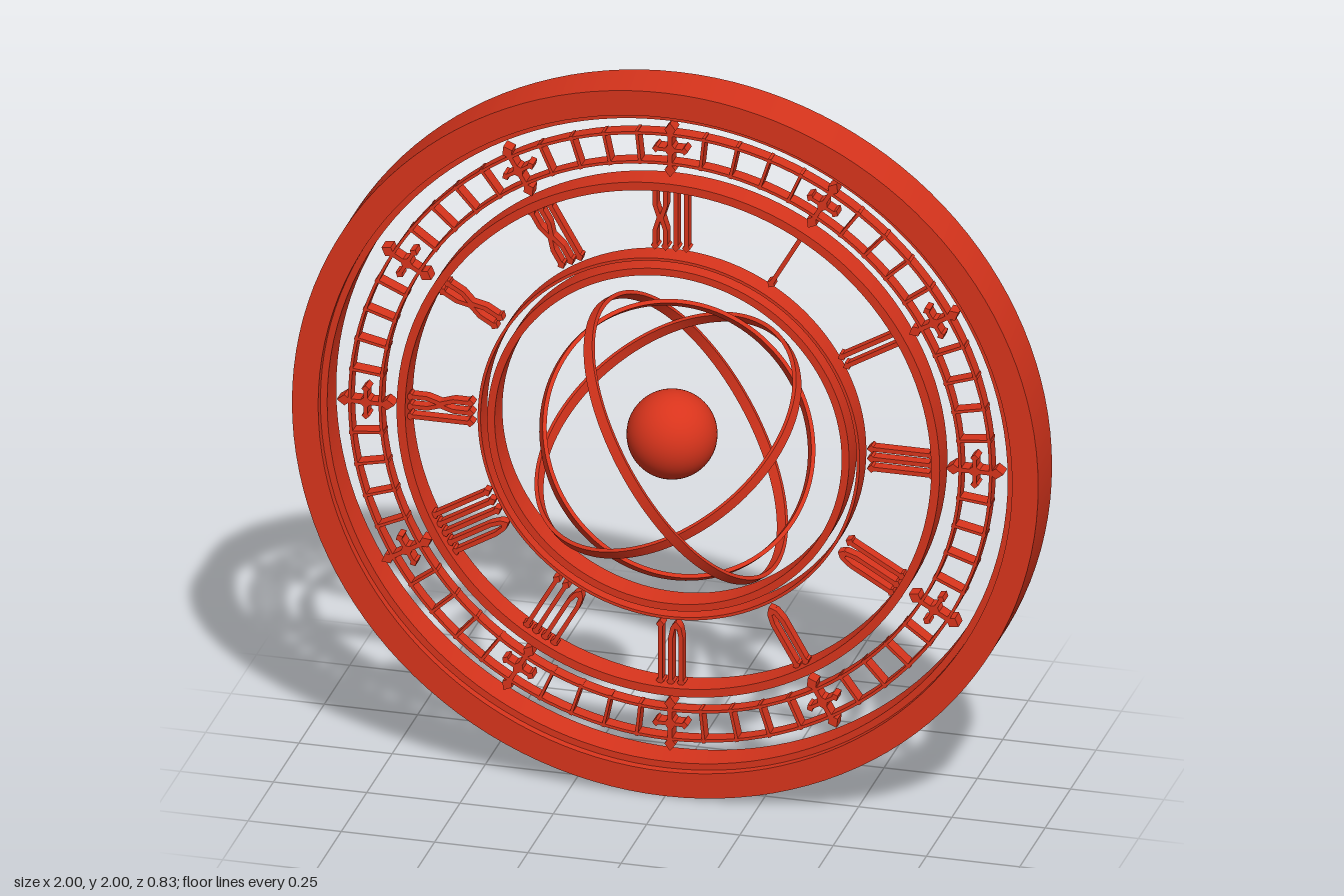
import * as THREE from 'three';
import { toCreasedNormals } from 'three/addons/utils/BufferGeometryUtils.js';

const material = new THREE.MeshStandardMaterial({ color: 0xd8341c });

function add(parent, name, geometry) {
  const mesh = new THREE.Mesh(geometry, material);
  mesh.name = name;
  parent.add(mesh);
  return mesh;
}

// Revolve a closed [radius, z] profile about the z axis, keeping its edges sharp
function revolve(profile, segments = 128) {
  const points = [...profile, profile[0]].map(([r, z]) => new THREE.Vector2(r, z));
  return toCreasedNormals(new THREE.LatheGeometry(points, segments).rotateX(Math.PI / 2), 0.6);
}

const ring = (inner, outer, halfDepth) =>
  revolve([[outer, -halfDepth], [outer, halfDepth], [inner, halfDepth], [inner, -halfDepth]]);

// Flat plate cut from an outline, centred on z = 0
function plate(outline, depth) {
  const shape = new THREE.Shape(outline.map(([x, y]) => new THREE.Vector2(x, y)));
  return new THREE.ExtrudeGeometry(shape, { depth, bevelEnabled: false }).translate(0, 0, -depth / 2);
}

// Stroke of constant horizontal width along a top-to-bottom path
function stroke(path, width, depth) {
  const left = path.map(([x, y]) => [x - width / 2, y]);
  const right = path.map(([x, y]) => [x + width / 2, y]).reverse();
  return plate([...left, ...right], depth);
}

const diamond = (w, h, depth) => plate([[0, h], [-w, 0], [0, -h], [w, 0]], depth);

// Numeral dimensions
const H = 0.085, GAP = 0.028, STROKE = 0.012, DEPTH = 0.03;
const serifGeometry = diamond(0.011, 0.012, DEPTH);
const paths = {
  I: [[[0, H], [0, -H]]],
  V: [-1, 1].map(s => [[s * GAP / 2, H], [s * GAP / 2, -0.045], [s * 0.008, -0.075], [0, -H]]),
  X: [-1, 1].map(s => [[s * GAP / 2, H], [s * GAP / 2, 0.035], [s * 0.003, 0],
    [s * GAP / 2, -0.035], [s * GAP / 2, -H]]),
};

function createNumeral(text) {
  const numeral = new THREE.Group();
  const bars = [...text].reduce((n, c) => n + paths[c].length, 0);
  let x = -bars * GAP / 2;
  for (const letter of text) {
    const width = paths[letter].length * GAP;
    for (const path of paths[letter]) {
      add(numeral, 'numeralStroke', stroke(path, STROKE, DEPTH)).position.x = x + width / 2;
      for (const end of [path[0], path[path.length - 1]]) {
        const serif = add(numeral, 'numeralSerif', serifGeometry);
        serif.position.set(x + width / 2 + end[0], end[1] * 0.94, 0);
      }
    }
    x += width;
  }
  return numeral;
}

// Cross-shaped hour marker with pointed tips
function createMarker() {
  const marker = new THREE.Group();
  add(marker, 'markerStem', new THREE.BoxGeometry(0.012, 0.13, 0.04));
  add(marker, 'markerBar', new THREE.BoxGeometry(0.08, 0.01, 0.04));
  add(marker, 'markerHub', diamond(0.016, 0.022, 0.04));
  for (const s of [-1, 1]) {
    add(marker, 'markerTip', diamond(0.015, 0.02, 0.04)).position.y = s * 0.057;
    add(marker, 'markerSideTip', diamond(0.01, 0.011, 0.04)).position.x = s * 0.038;
  }
  return marker;
}

export function createModel() {
  const model = new THREE.Group();
  model.name = 'skeletonClock';
  const clock = new THREE.Group();
  clock.name = 'clockFace';
  clock.position.y = 1;
  model.add(clock);

  // Place a part at a radius, turned clockwise from the top
  const placeAround = (part, radius, turn) => {
    const angle = turn * Math.PI * 2;
    part.position.set(Math.sin(angle) * radius, Math.cos(angle) * radius, 0);
    part.rotation.z = -angle;
    clock.add(part);
  };

  // Outer rim with a stepped inner lip
  add(clock, 'outerRim', revolve([[1, -0.068], [1, 0.068], [0.93, 0.068], [0.93, 0.045],
    [0.912, 0.045], [0.912, -0.045], [0.93, -0.045], [0.93, -0.068]]));

  // Dial rings
  add(clock, 'outerMinuteRing', ring(0.855, 0.863, 0.02));
  add(clock, 'innerMinuteRing', ring(0.773, 0.781, 0.02));
  add(clock, 'outerNumeralRing', ring(0.705, 0.728, 0.038));
  add(clock, 'thinNumeralRing', ring(0.504, 0.512, 0.033));
  add(clock, 'innerNumeralRing', ring(0.465, 0.485, 0.038));

  // Minute ticks and hour markers
  const tickGeometry = new THREE.BoxGeometry(0.008, 0.094, 0.04);
  for (let i = 0; i < 60; i++) {
    if (i % 5) {
      placeAround(add(clock, 'minuteTick', tickGeometry), 0.818, i / 60);
    } else {
      const marker = createMarker();
      marker.name = 'hourMarker';
      placeAround(marker, 0.816, i / 60);
    }
  }

  // Hour numerals, tops facing outward
  ['XII', 'I', 'II', 'III', 'IV', 'V', 'VI', 'VII', 'VIII', 'IX', 'X', 'XI'].forEach((text, hour) => {
    const numeral = createNumeral(text);
    numeral.name = 'hourNumeral';
    placeAround(numeral, 0.618, hour / 12);
  });

  // Central sphere and the three tilted orbit bands: radius, axis, centre
  add(clock, 'centralSphere', new THREE.SphereGeometry(0.118, 48, 32));
  const orbits = [
    [0.415, [0.82, 0.57, 0], [0.037, -0.005, 0]],
    [0.39, [-0.397, 0.808, 0.434], [-0.008, 0, 0.01]],
    [0.372, [0.5, 0.6, 0.624], [0.017, -0.01, 0.01]],
  ];
  for (const [radius, axis, centre] of orbits) {
    const orbit = add(clock, 'orbitBand', ring(radius - 0.011, radius, 0.014));
    orbit.quaternion.setFromUnitVectors(new THREE.Vector3(0, 0, 1), new THREE.Vector3(...axis).normalize());
    orbit.position.set(...centre);
  }
  return model;
}
